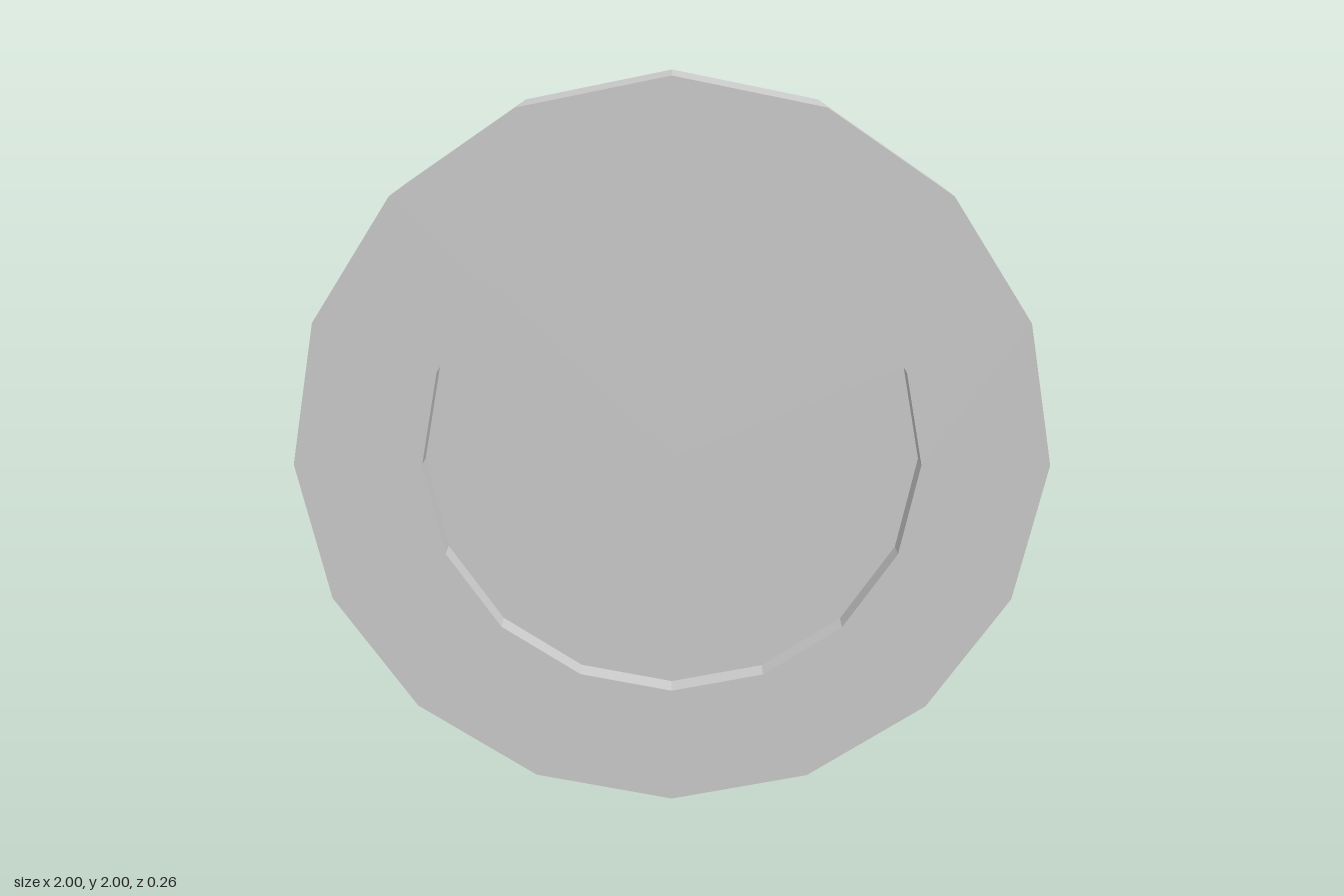
import * as THREE from 'three';

export function createModel() {
  const group = new THREE.Group();
  const sides = 16, outer = 1, inner = 0.66, half = 0.131, web = 0.072;

  // Half section: recessed centre, rim face, tread, rim face, recessed centre
  const profile = [
    [0, -web], [inner, -web], [inner, -half], [outer, -half],
    [outer, half], [inner, half], [inner, web], [0, web],
  ].map(([r, h]) => new THREE.Vector2(r, h));

  const geometry = new THREE.LatheGeometry(profile, sides).toNonIndexed();
  geometry.computeVertexNormals();
  geometry.rotateX(Math.PI / 2); // axle along z
  geometry.translate(0, outer, 0);

  const material = new THREE.MeshStandardMaterial({ color: 0xcccccc, flatShading: true });
  const disc = new THREE.Mesh(geometry, material);
  disc.name = 'recessedDisc';
  group.add(disc);
  return group;
}
